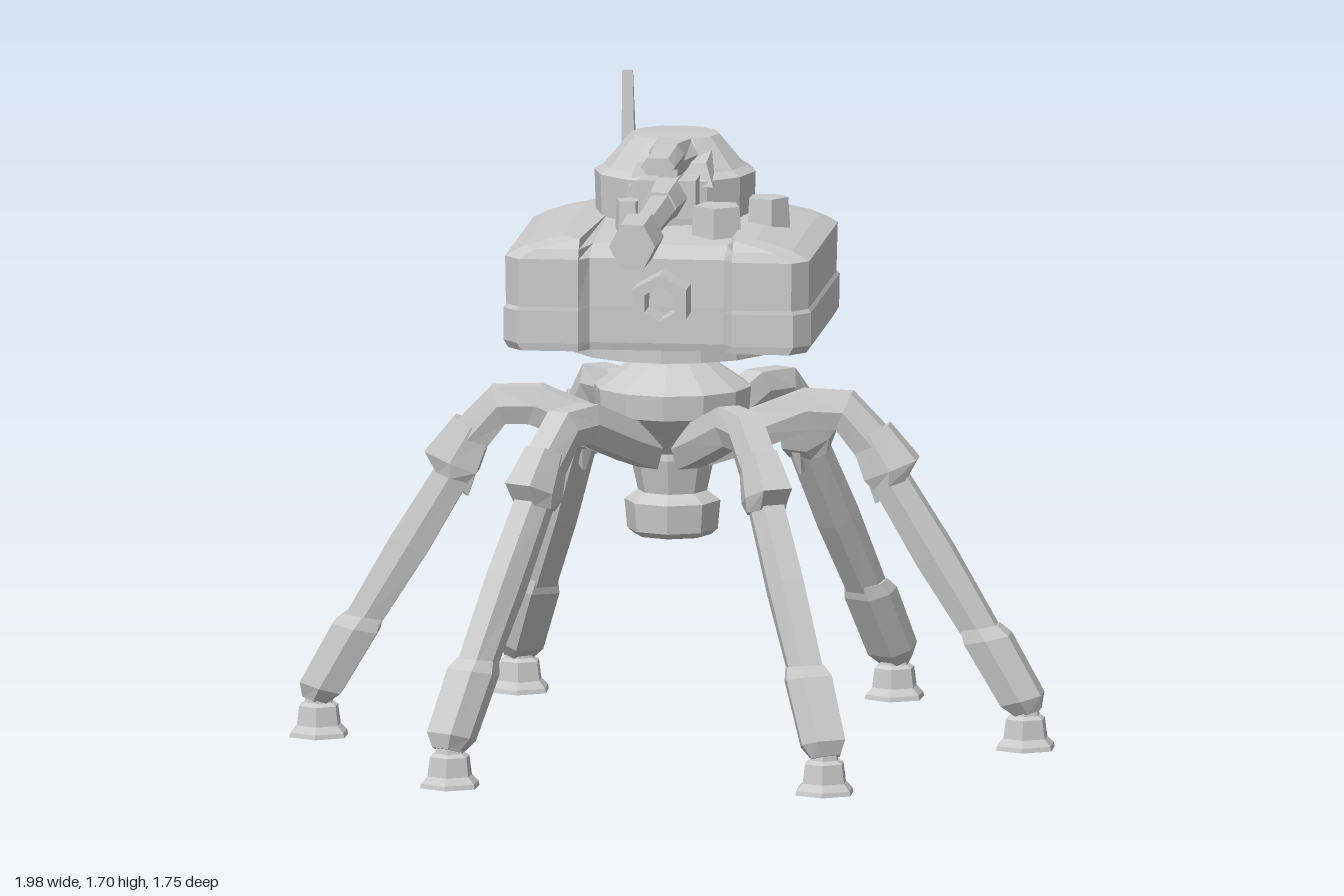
import * as THREE from 'three';

const material = new THREE.MeshStandardMaterial({ color: 0xcccccc, flatShading: true });

function add(parent, name, geometry, x = 0, y = 0, z = 0) {
  const mesh = new THREE.Mesh(geometry, material);
  mesh.name = name;
  mesh.position.set(x, y, z);
  parent.add(mesh);
  return mesh;
}

const fan = ring => ring.slice(2).map((_, i) => [0, i + 1, i + 2]);

// Caps for outlines with a notch, all wound the same way as the outline
function notchedCap(ring) {
  const p = ring.map(([x, , z]) => new THREE.Vector2(x, z));
  const sign = Math.sign(THREE.ShapeUtils.area(p));
  return THREE.ShapeUtils.triangulateShape(p, []).map(([a, b, c]) =>
    THREE.ShapeUtils.area([p[a], p[b], p[c]]) * sign < 0 ? [a, c, b] : [a, b, c]);
}

// Closed solid through rings of equal point count, turned outwards by its volume
function loft(rings, cap = fan) {
  const n = rings[0].length, last = rings.length - 1, faces = [];
  for (let k = 0; k < last; k++) for (let i = 0; i < n; i++) {
    const j = (i + 1) % n, a = k * n + i, b = k * n + j;
    faces.push([a, b, b + n], [a, b + n, a + n]);
  }
  cap(rings[0]).forEach(([a, b, c]) => faces.push([a, c, b]));
  cap(rings[last]).forEach(f => faces.push(f.map(i => i + last * n)));
  const v = rings.flat().map(p => new THREE.Vector3(...p));
  let volume = 0;
  for (const [a, b, c] of faces) volume += v[a].dot(v[b].clone().cross(v[c]));
  const order = volume < 0 ? faces.map(([a, b, c]) => [a, c, b]) : faces;
  const geometry = new THREE.BufferGeometry().setFromPoints(order.flat().map(i => v[i]));
  geometry.computeVertexNormals();
  return geometry;
}

// Six-sided bar in the x-y plane; each station is outer x, y, inner x, y, half width
function bar(stations) {
  return loft(stations.map(([ox, oy, ix, iy, w]) => {
    const mx = (ox + ix) / 2, my = (oy + iy) / 2, e = w * 0.65;
    return [[ox, oy, -e], [ox, oy, e], [mx, my, w], [ix, iy, e], [ix, iy, -e], [mx, my, -w]];
  }));
}

// Cylinder lying along z between two depths
function barrel(rFront, rBack, zFront, zBack, sides) {
  return new THREE.CylinderGeometry(rFront, rBack, zFront - zBack, sides)
    .rotateY(Math.PI / sides).rotateX(Math.PI / 2).translate(0, 0, (zFront + zBack) / 2);
}

function lathe(points, sides) {
  return new THREE.LatheGeometry(points.map(p => new THREE.Vector2(...p)), sides);
}

function makeLeg(angle) {
  const leg = new THREE.Group();
  leg.name = 'leg';
  leg.rotation.y = angle;
  add(leg, 'upperLeg', bar([
    [0.10, 0.84, 0.10, 0.73, 0.05], [0.19, 0.87, 0.19, 0.76, 0.05],
    [0.34, 0.93, 0.37, 0.83, 0.045], [0.47, 0.925, 0.43, 0.83, 0.05],
    [0.58, 0.81, 0.50, 0.74, 0.05],
  ]));
  add(leg, 'kneeCuff', bar([
    [0.565, 0.845, 0.47, 0.80, 0.048], [0.64, 0.755, 0.505, 0.70, 0.062],
    [0.61, 0.70, 0.53, 0.675, 0.055],
  ]));
  add(leg, 'kneeSpur', loft([
    [[0.50, 0.73, -0.02], [0.50, 0.73, 0.02], [0.58, 0.69, 0.025], [0.58, 0.69, -0.025]],
    [[0.53, 0.635, -0.005], [0.53, 0.635, 0.005], [0.54, 0.64, 0.005], [0.54, 0.64, -0.005]],
  ]));
  add(leg, 'shin', bar([
    [0.61, 0.72, 0.52, 0.69, 0.045], [0.73, 0.53, 0.64, 0.48, 0.047],
    [0.86, 0.30, 0.775, 0.27, 0.045],
  ]));
  add(leg, 'ankleCuff', bar([
    [0.85, 0.325, 0.755, 0.31, 0.05], [0.88, 0.30, 0.765, 0.275, 0.062],
    [0.965, 0.145, 0.86, 0.115, 0.06], [0.96, 0.105, 0.90, 0.085, 0.04],
  ]));
  add(leg, 'ankle', new THREE.CylinderGeometry(0.035, 0.045, 0.05, 6), 0.92, 0.09, 0);
  add(leg, 'foot', lathe([[0, 0], [0.083, 0], [0.08, 0.012], [0.062, 0.03],
    [0.055, 0.08], [0.035, 0.092], [0, 0.092]], 6), 0.92, 0, 0);
  return leg;
}

// Hull outline at one height: inset shrinks it, notch is the depth of the front gap
function hullRing(y, inset, rear, notch) {
  const w = 0.4 - inset, f = 0.37 - inset * 0.25;
  const half = [[0.175, notch], [0.2, f], [w - 0.04, f], [w, f - 0.05],
    [w, rear + 0.16], [w - 0.035, rear + 0.07], [w - 0.12, rear]];
  const mirror = half.map(([x, z]) => [-x, z]).reverse();
  return [...half, ...mirror].map(([x, z]) => [x, y, z]);
}

export function createModel() {
  const model = new THREE.Group();
  model.name = 'walkerTank';

  // Six legs around the hub
  const legs = new THREE.Group();
  legs.name = 'legs';
  legs.position.z = -0.01;
  for (const base of [0, Math.PI])
    for (const swing of [-1, 0, 1]) legs.add(makeLeg(base + swing * 1.012));
  model.add(legs);

  // Hub, neck and hanging pod
  add(model, 'hub', lathe([[0, 0.72], [0.09, 0.75], [0.15, 0.82], [0.2, 0.87], [0.205, 0.935],
    [0.11, 1.0], [0.075, 1.01], [0.11, 1.035], [0, 1.035]], 12), 0, 0, -0.02);
  add(model, 'lowerPod', lathe([[0, 0.545], [0.1, 0.545], [0.118, 0.56], [0.125, 0.635],
    [0.105, 0.65], [0.09, 0.66], [0.11, 0.75], [0.1, 0.8], [0, 0.8]], 8), 0, 0, -0.02);
  add(model, 'turntable', new THREE.CylinderGeometry(0.265, 0.265, 0.06, 16), 0, 1.06, -0.03);

  // Hull with chamfered rear corners and a channel ramping up between the front pods
  add(model, 'hull', loft([
    hullRing(1.08, 0.012, -0.445, 0.33), hullRing(1.10, 0, -0.47, 0.335),
    hullRing(1.185, 0, -0.485, 0.335), hullRing(1.195, 0.006, -0.462, 0.335),
    hullRing(1.32, 0.004, -0.475, 0.33), hullRing(1.345, 0.05, -0.44, 0.25),
    hullRing(1.37, 0.15, -0.41, -0.1),
  ], notchedCap));

  // Open front port
  const port = new THREE.Shape(), hole = new THREE.Path();
  for (let i = 0; i < 7; i++) {
    const a = i * Math.PI / 3 + Math.PI / 6, c = Math.cos(a), s = Math.sin(a);
    i ? port.lineTo(0.08 * c, 0.075 * s) : port.moveTo(0.08 * c, 0.075 * s);
    i ? hole.lineTo(0.045 * c, 0.045 * s) : hole.moveTo(0.045 * c, 0.045 * s);
  }
  port.holes.push(hole);
  add(model, 'frontPort', new THREE.ExtrudeGeometry(port,
    { depth: 0.12, bevelEnabled: false }), 0.02, 1.22, 0.32);

  // Turret, domed in two tiers
  add(model, 'turret', lathe([[0, 1.32], [0.205, 1.32], [0.21, 1.475], [0.185, 1.49],
    [0.115, 1.572], [0, 1.575]], 12), -0.01, 0, -0.165);
  add(model, 'turretBrow', loft([
    [[-0.11, 1.46, 0.02], [0.11, 1.46, 0.02], [0.11, 1.46, -0.14], [-0.11, 1.46, -0.14]],
    [[-0.09, 1.52, 0], [0.09, 1.52, 0], [0.1, 1.56, -0.14], [-0.1, 1.56, -0.14]],
  ]));

  // Main gun
  add(model, 'gunMount', new THREE.BoxGeometry(0.15, 0.1, 0.12), 0, 1.44, 0.05);
  add(model, 'gunSleeve', barrel(0.045, 0.06, 0.27, 0.02, 6), 0, 1.445, 0);
  add(model, 'gunBarrel', barrel(0.036, 0.045, 0.70, 0.1, 6), 0, 1.44, 0);
  add(model, 'muzzle', loft([0.67, 0.70, 0.88].map((z, k) => {
    const r = [0.045, 0.062, 0.06][k];
    return [0, 1, 2, 3, 4, 5].map(i => {
      const a = i * Math.PI / 3;
      return [r * Math.cos(a), 1.44 + r * Math.sin(a) * 1.1, z];
    });
  })));

  // Secondary gun above
  add(model, 'upperGun', loft([[0.31, 0.045, 1.535, 1.58], [0.10, 0.045, 1.53, 1.585],
    [0.06, 0.04, 1.49, 1.58], [-0.08, 0.075, 1.5, 1.572]].map(([z, w, b, t]) =>
    [[-w, (b + t) / 2, z], [-w * 0.6, b, z], [w * 0.6, b, z], [w, (b + t) / 2, z],
      [w * 0.6, t, z], [-w * 0.6, t, z]])));
  add(model, 'upperGunBracket', new THREE.BoxGeometry(0.05, 0.08, 0.07), 0, 1.5, 0.05);

  // Deck fittings
  for (const [x, y, z, r, turn] of [[0.25, 1.39, 0, 0.06, 0.3], [0.135, 1.385, 0.12, 0.07, 1.2],
    [-0.1, 1.39, 0.09, 0.04, 0.6]]) {
    const box = add(model, 'deckBox', new THREE.CylinderGeometry(r * 0.9, r, 0.09, 5), x, y, z);
    box.rotation.y = turn;
  }

  // Blade antenna on its foot
  add(model, 'antennaFoot', new THREE.CylinderGeometry(0.03, 0.042, 0.06, 6), -0.155, 1.375, -0.365);
  add(model, 'antenna', loft([[1.36, 0.018, 0.034], [1.47, 0.017, 0.022], [1.7, 0.014, 0.004]]
    .map(([y, w, d], k) => [[-w, -d], [w, -d], [w, d], [-w, d]]
      .map(([x, z]) => [x - 0.15 - k * 0.004, y, z - 0.37]))));

  return model;
}
